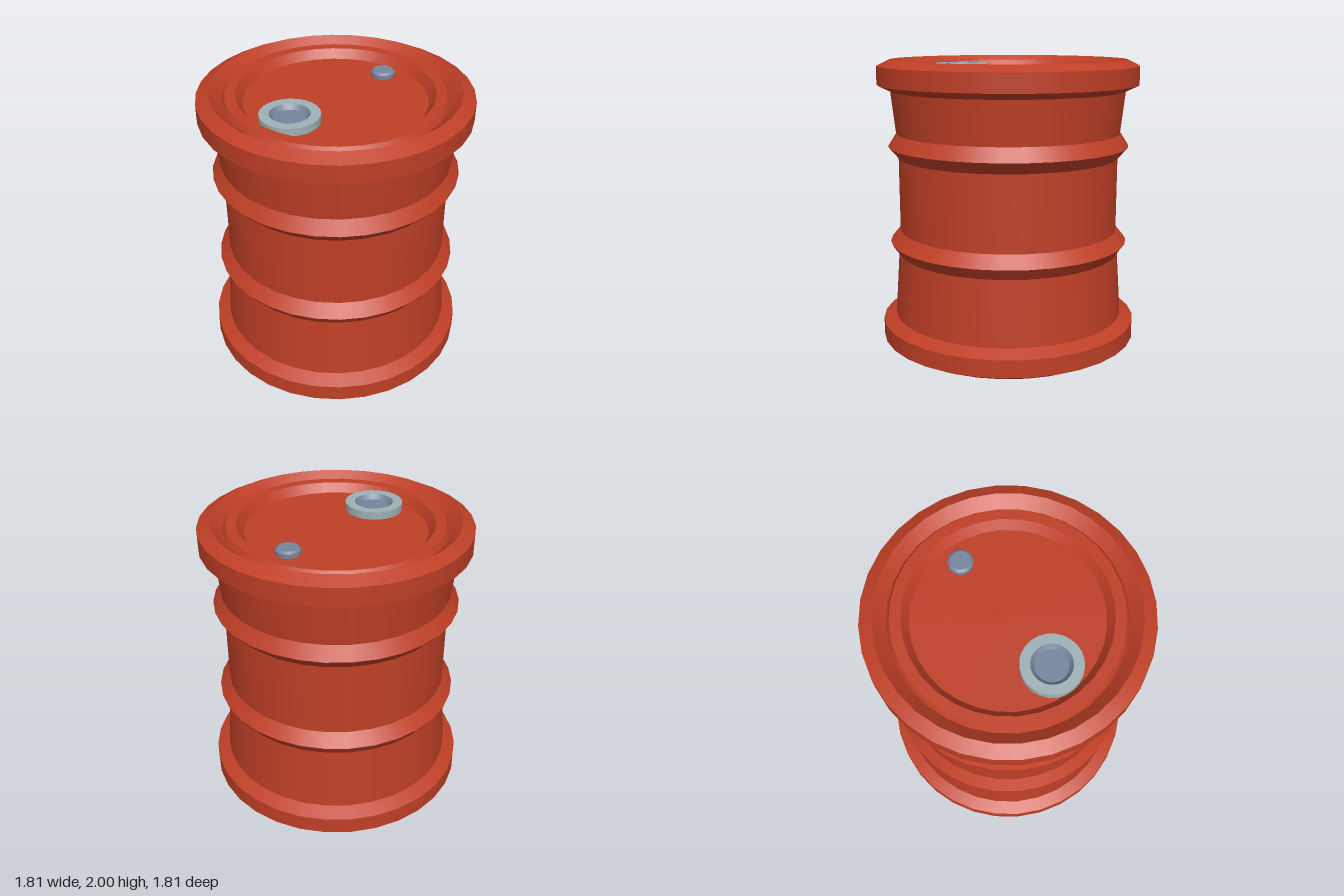
import * as THREE from 'three';
import { mergeGeometries } from 'three/addons/utils/BufferGeometryUtils.js';

// Revolve a profile: smooth around the axis, a sharp edge at every profile point
function turned(profile, sides) {
  const bands = [];
  for (let i = 0; i < profile.length - 1; i++) {
    const pair = [profile[i], profile[i + 1]].map(([r, y]) => new THREE.Vector2(r, y));
    bands.push(new THREE.LatheGeometry(pair, sides));
  }
  return mergeGeometries(bands);
}

export function createModel() {
  const red = new THREE.MeshStandardMaterial({ color: 0xbf3f26 });
  red.name = 'red paint';
  const steel = new THREE.MeshStandardMaterial({ color: 0x76859c });
  steel.name = 'blue steel';
  const pale = new THREE.MeshStandardMaterial({ color: 0x9fb1b6 });
  pale.name = 'pale steel';

  const group = new THREE.Group();
  group.name = 'barrel';
  const add = (name, profile, sides, material, z = 0) => {
    const mesh = new THREE.Mesh(turned(profile, sides), material);
    mesh.name = name;
    mesh.position.z = z;
    group.add(mesh);
  };

  // Underside: recessed base, step and groove
  add('base', [[0, 0.09], [0.605, 0.09], [0.65, 0.03], [0.72, 0.03], [0.742, 0.065], [0.82, 0]], 32, red);
  // Bottom rim
  add('bottomRim', [[0.82, 0], [0.905, 0.045], [0.905, 0.165], [0.815, 0.208]], 32, red);
  // Wall with two raised hoops
  add('wall', [
    [0.815, 0.208], [0.783, 0.655], [0.84, 0.735], [0.77, 0.818],
    [0.77, 1.33], [0.84, 1.41], [0.783, 1.5], [0.815, 1.79],
  ], 32, red);
  // Top rim
  add('topRim', [[0.815, 1.79], [0.905, 1.833], [0.905, 1.958], [0.82, 2]], 32, red);
  // Lid: groove, step and sunken disc
  add('lid', [[0.82, 2], [0.742, 1.935], [0.72, 1.97], [0.65, 1.97], [0.605, 1.91], [0, 1.91]], 32, red);

  // Large filler opening near the front
  add('fillerCollar', [[0.195, 1.905], [0.195, 1.962], [0.13, 1.962]], 24, pale, 0.415);
  add('fillerPlug', [[0.13, 1.962], [0.105, 1.93], [0, 1.93]], 24, steel, 0.415);
  // Small vent plug near the back
  add('ventPlug', [[0.082, 1.905], [0.082, 1.938], [0.066, 1.952], [0, 1.952]], 16, steel, -0.472);

  return group;
}
